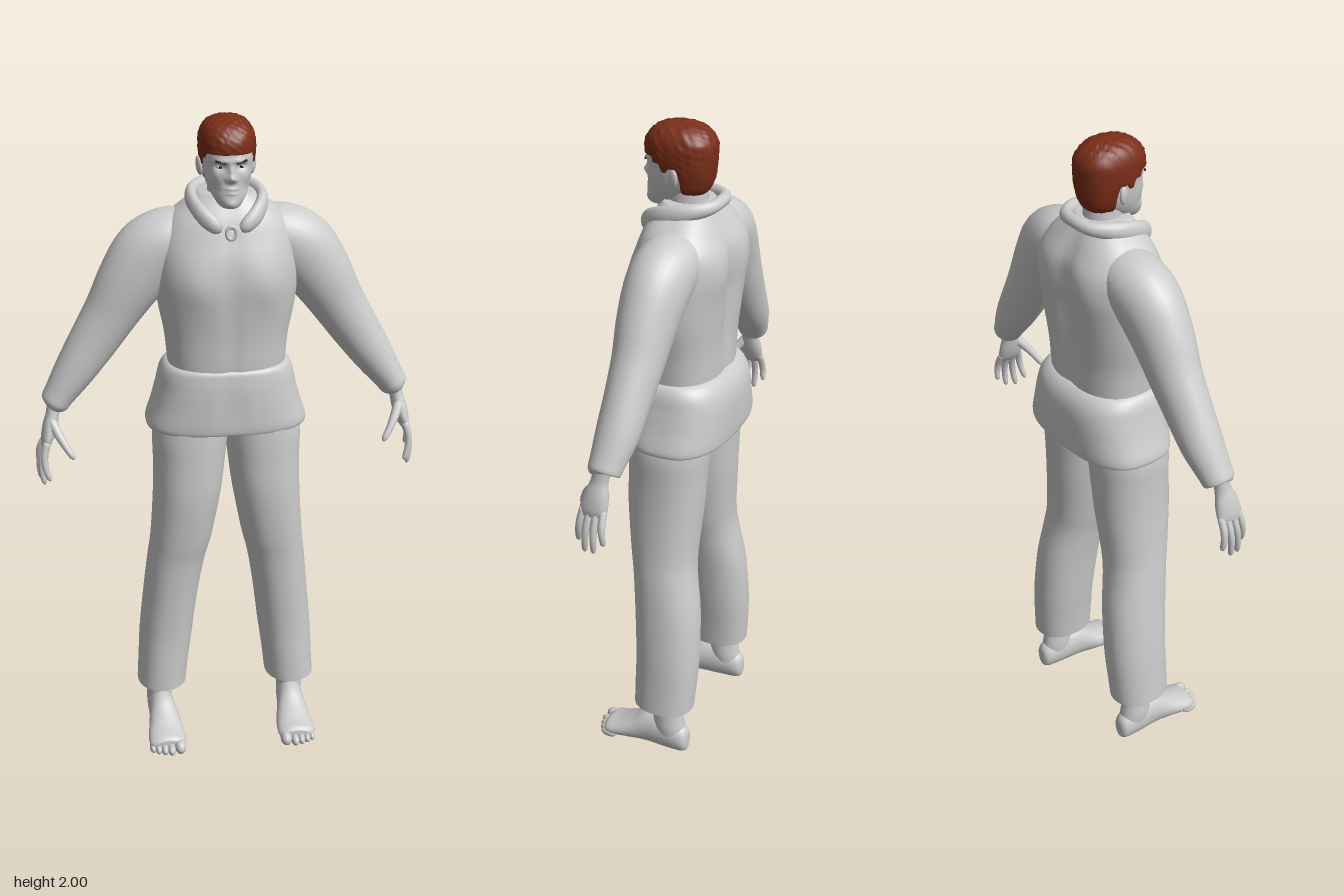
import * as THREE from 'three';

const V = (x, y, z) => new THREE.Vector3(x, y, z);
const X = V(1, 0, 0), Y = V(0, 1, 0), Z = V(0, 0, 1);

// Smooth interpolation between the rows of a loft
function refine(rows, steps) {
  const out = [], at = i => rows[Math.max(0, Math.min(rows.length - 1, i))];
  for (let i = 0; i < rows.length - 1; i++) {
    for (let s = 0; s < steps; s++) {
      const t = s / steps;
      out.push(rows[i].map((b, k) => {
        const a = at(i - 1)[k], c = at(i + 1)[k], d = at(i + 2)[k];
        return b + 0.5 * t * (c - a + t * (2 * a - 5 * b + 4 * c - d + t * (3 * (b - c) + d - a)));
      }));
    }
  }
  out.push(rows[rows.length - 1]);
  return out;
}

// Skin over rows [x, y, z, radius across, radius along hint]; axis fixes the ring direction
function loft(rows, { hint = Z, axis = null, n = 24, p = 2, steps = 4, cap = true, warp = null } = {}) {
  const r = refine(rows, steps), pos = [], idx = [];
  const c = r.map(q => V(q[0], q[1], q[2]));
  const pw = v => Math.sign(v) * Math.abs(v) ** (2 / p);
  r.forEach((q, i) => {
    const t = axis ? axis.clone()
      : c[Math.min(i + 1, c.length - 1)].clone().sub(c[Math.max(i - 1, 0)]).normalize();
    const u = hint.clone().cross(t).normalize(), v = t.clone().cross(u);
    for (let j = 0; j < n; j++) {
      const a = j / n * Math.PI * 2;
      const pt = c[i].clone()
        .addScaledVector(u, pw(Math.cos(a)) * Math.max(q[3], 0.001))
        .addScaledVector(v, pw(Math.sin(a)) * Math.max(q[4], 0.001));
      if (warp) warp(pt, c[i]);
      pos.push(pt.x, pt.y, pt.z);
    }
  });
  for (let i = 0; i < r.length - 1; i++) {
    for (let j = 0; j < n; j++) {
      const a = i * n + j, b = i * n + (j + 1) % n;
      idx.push(a, b, a + n, b, b + n, a + n);
    }
  }
  if (cap) {
    const m = r.length * n, last = (r.length - 1) * n, e = c[c.length - 1];
    pos.push(c[0].x, c[0].y, c[0].z, e.x, e.y, e.z);
    for (let j = 0; j < n; j++) {
      const k = (j + 1) % n;
      idx.push(m, k, j, m + 1, last + j, last + k);
    }
  }
  const g = new THREE.BufferGeometry();
  g.setAttribute('position', new THREE.Float32BufferAttribute(pos, 3));
  g.setIndex(idx);
  g.computeVertexNormals();
  return g;
}

// Soft bumps [x, y, height, width, tallness, side: 1 front, -1 back]
const bumps = list => (pt, c) => {
  const side = Math.sign(pt.z - c.z), x = pt.x, y = pt.y;
  let dz = 0;
  for (const [bx, by, h, sx, sy, s] of list) {
    if (s === side) dz += s * h * Math.exp(-(((x - bx) / sx) ** 2) - ((y - by) / sy) ** 2);
  }
  pt.z += dz;
};
const both = b => [b, [-b[0], ...b.slice(1)]];
// Rows written as [y, half width, front z, back z]
const body = rows => rows.map(([y, w, f, b]) => [0, y, (f + b) / 2, w, (f - b) / 2]);
const mirror = (rows, s) => rows.map(q => [q[0] * s, ...q.slice(1)]);

export function createModel() {
  const model = new THREE.Group();
  model.name = 'standingMan';
  const mat = (name, color) => {
    const m = new THREE.MeshStandardMaterial({ color, side: THREE.DoubleSide });
    m.name = name;
    return m;
  };
  const grey = mat('paleGrey', 0xcccccc), red = mat('auburnHair', 0x7a2e18), dark = mat('darkBrow', 0x35201a);
  const add = (name, geo, m = grey, parent = model) => {
    const mesh = new THREE.Mesh(geo, m);
    mesh.name = name;
    parent.add(mesh);
    return mesh;
  };
  const ball = (name, x, y, z, a, b, c, m = grey, parent = model) => {
    const o = add(name, new THREE.SphereGeometry(1, 16, 12), m, parent);
    o.position.set(x, y, z);
    o.scale.set(a, b, c);
    return o;
  };

  // Jacket body with chest, shoulder blades, spine and front closure
  add('jacketBody', loft(body([
    [1.2, .17, .1, -.14], [1.28, .175, .108, -.145], [1.36, .183, .112, -.148], [1.45, .2, .12, -.155],
    [1.53, .207, .124, -.16], [1.6, .205, .118, -.166], [1.66, .195, .1, -.16], [1.71, .165, .082, -.135],
    [1.75, .118, .06, -.11], [1.78, .075, .04, -.09]]),
  { axis: Y, n: 72, p: 2.5, warp: bumps([
    ...both([.1, 1.53, .012, .06, .07, 1]), ...both([.1, 1.6, .01, .06, .1, -1]),
    [0, 1.5, -.02, .03, .2, -1], [0, 1.45, -.006, .012, .3, 1]]) }));
  add('jacketSkirt', loft(body([
    [1.085, .22, .1, -.165], [1.068, .236, .11, -.178], [1.085, .241, .116, -.183], [1.14, .223, .118, -.185],
    [1.2, .207, .118, -.183], [1.24, .198, .115, -.172], [1.265, .184, .11, -.152], [1.275, .165, .09, -.13]]),
  { axis: Y, n: 72, p: 2.7, cap: false, warp: bumps([[0, 1.15, -.006, .012, .1, 1]]) }));

  // Turned collar, open at the throat
  const half = [[.028, 1.695, .085, .01, .012], [.045, 1.703, .085, .017, .022], [.078, 1.728, .062, .019, .028],
    [.1, 1.752, .01, .018, .03], [.093, 1.768, -.055, .018, .026], [.055, 1.778, -.108, .018, .02]];
  add('collar', loft([...half, [0, 1.782, -.12, .018, .018], ...mirror([...half].reverse(), -1)], { hint: Y, n: 16 }));
  const pull = add('zipPull', new THREE.TorusGeometry(.014, .005, 8, 16));
  pull.position.set(0, 1.685, .096);
  pull.scale.y = 1.3;

  for (const s of [1, -1]) {
    const side = s > 0 ? 'left' : 'right';

    // Sleeve with a gathered cuff
    add(side + 'Sleeve', loft(mirror([
      [.1, 1.66, -.04, .07, .08], [.16, 1.64, -.038, .092, .092], [.22, 1.597, -.034, .105, .092],
      [.28, 1.515, -.03, .096, .084], [.335, 1.425, -.03, .081, .074], [.39, 1.34, -.027, .072, .067],
      [.45, 1.25, -.022, .06, .062], [.495, 1.185, -.014, .047, .052], [.513, 1.157, -.01, .042, .047],
      [.517, 1.151, -.01, .03, .034]], s), { n: 32 }));

    // Hand with four fingers and a thumb
    const hand = new THREE.Group();
    hand.name = side + 'Hand';
    model.add(hand);
    add('palm', loft(mirror([
      [.512, 1.18, -.008, .021, .026], [.519, 1.13, 0, .02, .026], [.529, 1.09, .005, .022, .037],
      [.54, 1.05, .01, .018, .042], [.546, 1.028, .011, .01, .036]], s), { n: 20 }), grey, hand);
    for (const [z0, x1, y1, z1] of [[.041, .536, .935, .062], [.02, .552, .912, .035],
      [-.001, .56, .918, .003], [-.021, .56, .95, -.029]]) {
      const at = (t, r) => [.54 + (x1 - .54) * t + .013 * Math.sin(t * Math.PI), 1.05 + (y1 - 1.05) * t,
        z0 + (z1 - z0) * t, r, r];
      add('finger', loft(mirror([at(0, .011), at(.35, .011), at(.65, .0098), at(.92, .008), at(1, .002)], s),
        { n: 10, steps: 3 }), grey, hand);
    }
    add('thumb', loft(mirror([
      [.524, 1.11, .018, .015, .016], [.507, 1.078, .045, .014, .014], [.487, 1.045, .067, .011, .011],
      [.47, 1.02, .081, .009, .009], [.464, 1.011, .085, .002, .002]], s), { n: 12 }), grey, hand);

    // Trouser leg, open at the hem
    add(side + 'TrouserLeg', loft(mirror([
      [.207, .168, -.04, .077, .095], [.2, .25, -.043, .079, .098], [.19, .35, -.045, .083, .1],
      [.173, .5, -.037, .085, .102], [.156, .62, -.022, .089, .098], [.141, .7, -.013, .094, .102],
      [.122, .85, -.01, .103, .115], [.114, .96, -.013, .109, .118], [.11, 1.05, -.016, .113, .12],
      [.1, 1.16, -.018, .1, .115]], s), { axis: Y, n: 40, p: 2.2, cap: false }));

    // Bare foot
    const foot = new THREE.Group();
    foot.name = side + 'Foot';
    model.add(foot);
    add('ankle', loft(mirror([
      [.214, .04, -.066, .034, .05], [.214, .09, -.06, .041, .052], [.214, .15, -.055, .038, .048],
      [.212, .25, -.05, .042, .05]], s), { axis: Y }), grey, foot);
    add('sole', loft(mirror([
      [.215, .045, -.126, .012, .025], [.215, .048, -.113, .031, .044], [.213, .06, -.06, .04, .06],
      [.209, .062, .01, .044, .062], [.207, .046, .06, .052, .046], [.207, .034, .11, .059, .032],
      [.207, .03, .145, .056, .025], [.205, .03, .157, .04, .015]], s),
    { axis: Z, hint: Y, warp: p => { p.y = Math.max(p.y, .006); } }), grey, foot);
    [[.17, .158, .018], [.198, .162, .013], [.219, .156, .012], [.238, .148, .0115], [.255, .137, .011]]
      .forEach(([x, z, r]) => ball('toe', x * s, r + .005, z, r, r + .004, .027, grey, foot));
  }

  // Neck and head with modelled face
  add('neck', loft([[0, 1.68, -.03, .06, .06], [0, 1.76, -.022, .054, .06], [0, 1.83, -.02, .052, .06]], { axis: Y }));
  const head = new THREE.Group();
  head.name = 'head';
  model.add(head);
  add('face', loft(body([
    [1.752, .015, .085, .05], [1.758, .03, .097, .015], [1.78, .046, .101, -.02], [1.81, .06, .098, -.06],
    [1.84, .068, .097, -.085], [1.87, .072, .097, -.094], [1.9, .074, .099, -.098], [1.94, .07, .09, -.094],
    [1.97, .05, .06, -.07], [1.982, .02, .03, -.04]]),
  { axis: Y, n: 120, p: 2.2, steps: 7, warp: bumps([
    [0, 1.842, .017, .011, .011, 1], [0, 1.862, .01, .008, .018, 1], ...both([.012, 1.838, .005, .006, .007, 1]),
    ...both([.03, 1.872, -.01, .014, .009, 1]), ...both([.025, 1.89, .005, .02, .007, 1]),
    [0, 1.81, .005, .018, .006, 1], [0, 1.8, .004, .014, .005, 1], [0, 1.805, -.004, .02, .002, 1],
    [0, 1.768, .005, .018, .012, 1], ...both([.045, 1.845, .004, .015, .015, 1]),
    ...both([.045, 1.81, -.005, .012, .015, 1])]) }), grey, head);
  for (const s of [1, -1]) {
    ball('eye', s * .029, 1.872, .0785, .012, .0065, .008, grey, head);
    ball('iris', s * .029, 1.872, .0855, .0045, .0045, .002, dark, head);
    const brow = add('eyebrow', new THREE.BoxGeometry(.031, .0055, .008), dark, head);
    brow.position.set(s * .029, 1.887, .092);
    brow.rotation.set(0, s * .25, s * .2);
    const ear = ball('ear', s * .077, 1.855, -.01, .008, .028, .016, grey, head);
    ear.rotation.set(-.15, s * -.35, s * -.12);
  }

  // Short cropped hair, lifted clear of the face and ears
  const hairline = z => z > .055 ? 1.908 : z > .03 ? 1.892 : z > .012 ? 1.868 : z > -.022 ? 1.882 : 1.8;
  add('hair', loft(body([
    [1.798, .045, .04, -.075], [1.815, .062, .065, -.087], [1.84, .07, .082, -.097], [1.875, .077, .096, -.103],
    [1.91, .08, .104, -.105], [1.945, .078, .101, -.103], [1.975, .064, .08, -.083], [1.991, .04, .048, -.052],
    [1.997, .012, .015, -.02]]),
  { axis: Y, n: 72, p: 2.3, steps: 5, warp: (p, c) => {
    const w = Math.sin(p.x * 210 + p.y * 130) * Math.sin(p.z * 190 - p.y * 160) + .5 * Math.sin(p.x * 420 - p.z * 380);
    const k = 1 + w * .014;
    p.x *= k;
    p.z = c.z + (p.z - c.z) * k;
    p.y = Math.min(2, Math.max(p.y + w * .0015, hairline(p.z)));
  } }), red, head);

  return model;
}
